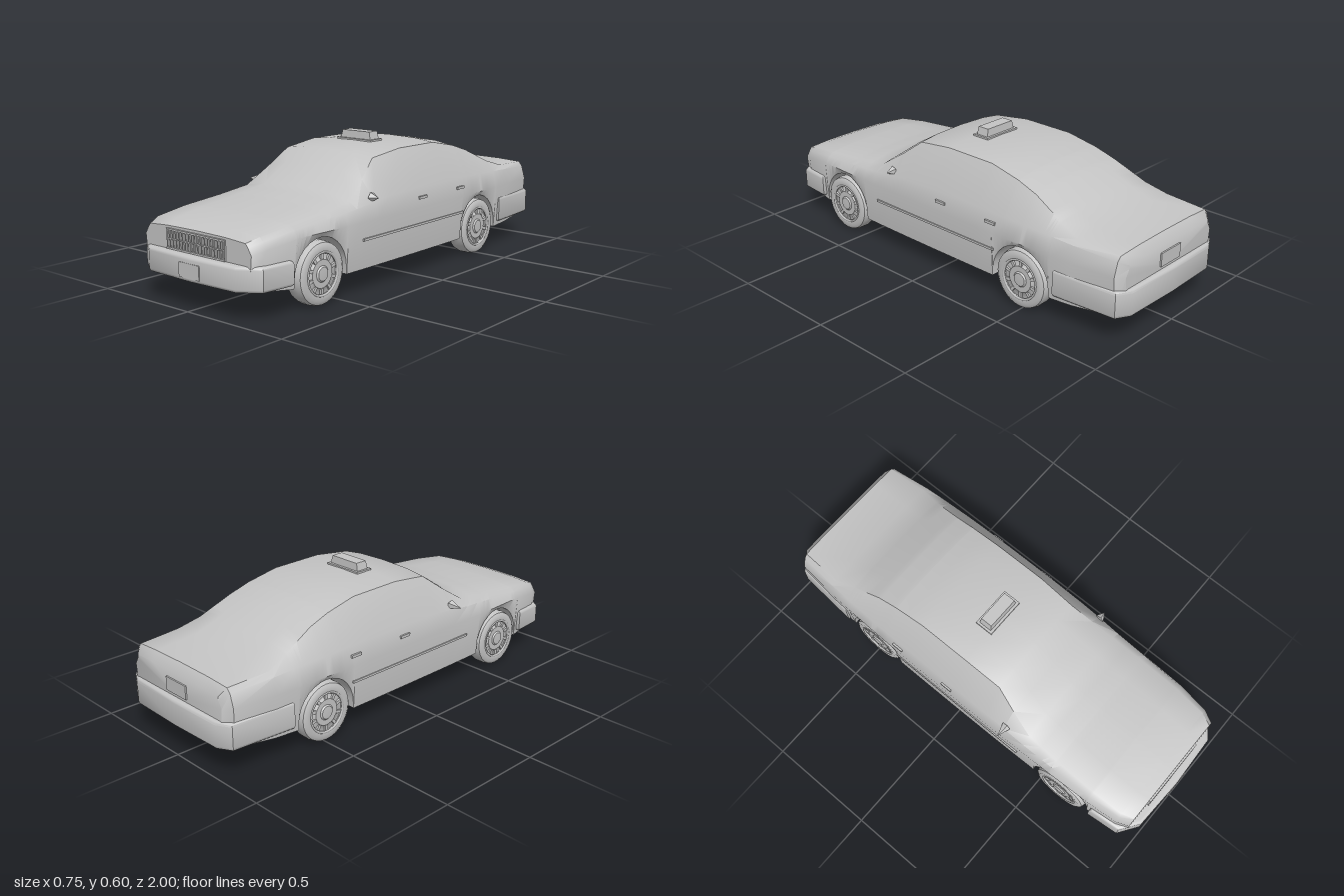
import * as THREE from 'three';
import { toCreasedNormals } from 'three/addons/utils/BufferGeometryUtils.js';

const paint = new THREE.MeshStandardMaterial({ color: 0xc4c4c4 });
paint.name = 'plain grey';

const AXLES = [0.61, -0.49], HUB_Y = 0.133, ARCH_R = 0.147;

// Body stations: z, floor y, half width, belt y, roof edge x, roof edge y, crown y
const STATIONS = [
  [-0.975, 0.16, 0.29, 0.33, 0.27, 0.345, 0.35],
  [-0.945, 0.13, 0.325, 0.36, 0.29, 0.38, 0.388],
  [-0.75, 0.11, 0.345, 0.37, 0.3, 0.388, 0.4],
  [-0.65, 0.105, 0.35, 0.375, 0.28, 0.42, 0.44],
  [-0.5, 0.1, 0.355, 0.38, 0.26, 0.488, 0.51],
  [-0.4, 0.1, 0.357, 0.382, 0.255, 0.52, 0.54],
  [-0.25, 0.1, 0.358, 0.385, 0.25, 0.55, 0.565],
  [0, 0.1, 0.358, 0.385, 0.25, 0.552, 0.567],
  [0.18, 0.1, 0.357, 0.38, 0.245, 0.53, 0.547],
  [0.28, 0.1, 0.356, 0.37, 0.27, 0.455, 0.49],
  [0.39, 0.1, 0.354, 0.355, 0.295, 0.382, 0.412],
  [0.55, 0.1, 0.35, 0.345, 0.3, 0.362, 0.385],
  [0.75, 0.1, 0.342, 0.33, 0.3, 0.345, 0.362],
  [0.9, 0.12, 0.325, 0.31, 0.29, 0.326, 0.338],
  [0.955, 0.135, 0.3, 0.295, 0.27, 0.309, 0.318],
];

function stationAt(z) {
  let i = 0;
  while (i < STATIONS.length - 2 && z > STATIONS[i + 1][0]) i++;
  const a = STATIONS[i], b = STATIONS[i + 1], t = (z - a[0]) / (b[0] - a[0]);
  return a.map((v, k) => THREE.MathUtils.lerp(v, b[k], t));
}

// Closed cross-section, anticlockwise seen from the front, opened up over the wheels
function ringAt(z) {
  const [, floor, w, belt, ex, ey, top] = stationAt(z);
  let sill = floor;
  for (const c of AXLES) {
    const d = Math.abs(z - c);
    if (d <= ARCH_R) sill = HUB_Y + Math.sqrt(ARCH_R * ARCH_R - d * d);
  }
  const mid = Math.min(0.3, belt - 0.03);
  const half = [
    [0.235, floor], [0.235, sill], [w - 0.012, sill], [w, mid],
    [w - 0.018, belt], [ex, ey], [ex * 0.6, ey + (top - ey) * 0.75],
  ];
  const left = half.slice().reverse().map(([x, y]) => [-x, y]);
  return [[0, floor], ...half, [0, top], ...left].map(([x, y]) => [x, y, z]);
}

function bodyGeometry() {
  const zs = STATIONS.map((s) => s[0]);
  for (const c of AXLES) {
    for (let i = 0; i <= 14; i++) zs.push(c + 0.9999 * ARCH_R * Math.cos((i / 14) * Math.PI));
    zs.push(c - ARCH_R - 0.002, c + ARCH_R + 0.002);
  }
  zs.sort((a, b) => a - b);
  const rings = zs.map(ringAt), n = rings[0].length, pos = [];
  const tri = (a, b, c) => pos.push(...a, ...b, ...c);
  for (let i = 0; i < rings.length - 1; i++) {
    for (let j = 0; j < n; j++) {
      const k = (j + 1) % n, r = rings[i], s = rings[i + 1];
      tri(r[j], r[k], s[j]);
      tri(r[k], s[k], s[j]);
    }
  }
  // Nose and tail caps
  const last = rings[rings.length - 1], first = rings[0];
  for (let j = 0; j < n; j++) {
    const k = (j + 1) % n;
    tri([0, 0.23, last[0][2]], last[j], last[k]);
    tri([0, 0.25, first[0][2]], first[k], first[j]);
  }
  const g = new THREE.BufferGeometry();
  g.setAttribute('position', new THREE.Float32BufferAttribute(pos, 3));
  return toCreasedNormals(g, 0.7);
}

// Slab cut from a plan outline of [x, z] points
function planSlab(points, y0, y1, bevel) {
  const shape = new THREE.Shape(points.map(([x, z]) => new THREE.Vector2(x, -z)));
  const g = new THREE.ExtrudeGeometry(shape, {
    depth: y1 - y0 - 2 * bevel, bevelEnabled: true, bevelSize: bevel,
    bevelThickness: bevel, bevelSegments: 3,
  });
  g.rotateX(-Math.PI / 2).translate(0, y0 + bevel, 0);
  return toCreasedNormals(g, 0.7);
}

function add(parent, name, geometry, x = 0, y = 0, z = 0) {
  const mesh = new THREE.Mesh(geometry, paint);
  mesh.name = name;
  mesh.position.set(x, y, z);
  parent.add(mesh);
  return mesh;
}

const box = (w, h, d) => new THREE.BoxGeometry(w, h, d);

function makeWheel() {
  const wheel = new THREE.Group();
  const profile = [
    [0, -0.045], [0.112, -0.045], [0.126, -0.036], [0.131, -0.018], [0.131, 0.018],
    [0.126, 0.036], [0.112, 0.045], [0.092, 0.043], [0.088, 0.028], [0.066, 0.03],
    [0.058, 0.038], [0.034, 0.038], [0.028, 0.044], [0, 0.046],
  ].map(([r, y]) => new THREE.Vector2(r, y));
  const tyre = new THREE.LatheGeometry(profile, 28).rotateZ(-Math.PI / 2);
  add(wheel, 'tyreAndRim', toCreasedNormals(tyre, 0.7));
  add(wheel, 'rimRing', new THREE.TorusGeometry(0.088, 0.006, 6, 28).rotateY(Math.PI / 2), 0.04);
  for (let i = 0; i < 10; i++) {
    const a = (i / 10) * Math.PI * 2;
    const spoke = add(wheel, 'spoke', box(0.012, 0.028, 0.014), 0.032, Math.cos(a) * 0.073, Math.sin(a) * 0.073);
    spoke.rotation.x = a;
  }
  return wheel;
}

export function createModel() {
  const model = new THREE.Group();
  model.name = 'taxi';
  const car = new THREE.Group();
  car.name = 'car';
  car.position.x = 0.01;
  model.add(car);

  add(car, 'body', bodyGeometry());

  // Bumpers
  add(car, 'frontBumper', planSlab(
    [[-0.333, 0.79], [-0.32, 0.92], [-0.24, 0.975], [0, 0.985], [0.24, 0.975], [0.32, 0.92], [0.333, 0.79]],
    0.12, 0.222, 0.014));
  add(car, 'rearBumper', planSlab(
    [[0.337, -0.68], [0.315, -0.95], [0.26, -0.98], [0, -0.986], [-0.26, -0.98], [-0.315, -0.95], [-0.337, -0.68]],
    0.125, 0.245, 0.014));
  add(car, 'chin', planSlab([[-0.15, 0.76], [-0.13, 0.86], [0.09, 0.86], [0.11, 0.76]], 0.09, 0.13, 0.008));

  // Grille with upright bars
  const grille = new THREE.Group();
  grille.name = 'grille';
  grille.position.set(0, 0.265, 0.957);
  car.add(grille);
  for (const y of [-0.038, 0.038]) add(grille, 'grilleFrame', box(0.33, 0.007, 0.014), 0, y, 0);
  for (let i = 0; i <= 18; i++) add(grille, 'grilleBar', box(0.005, 0.076, 0.01), -0.1625 + i * 0.01806, 0, 0);
  add(grille, 'grilleCrossBar', box(0.33, 0.005, 0.008));

  // Number plates without lettering
  add(car, 'frontPlate', box(0.115, 0.06, 0.009), 0.003, 0.166, 0.996);
  add(car, 'rearPlate', box(0.13, 0.06, 0.009), 0, 0.29, -0.977);

  // Roof sign on its base
  add(car, 'signBase', box(0.19, 0.008, 0.085), 0, 0.568, -0.035);
  const sign = new THREE.CylinderGeometry(0.9, 1, 1, 4, 1).rotateY(Math.PI / 4);
  sign.scale(0.17 / Math.SQRT2, 0.036, 0.062 / Math.SQRT2);
  add(car, 'roofSign', toCreasedNormals(sign, 0.3), 0, 0.588, -0.035);

  for (const side of [1, -1]) {
    // Wheels
    AXLES.forEach((z, i) => {
      const wheel = makeWheel();
      wheel.name = i ? 'rearWheel' : 'frontWheel';
      wheel.position.set(side * 0.303, HUB_Y, z);
      if (side < 0) wheel.rotation.y = Math.PI;
      car.add(wheel);
    });
    // Door mirror, tapering outwards
    const reach = side > 0 ? 0.04 : 0.06;
    const mirror = new THREE.ConeGeometry(0.022, reach, 5).rotateZ(-side * Math.PI / 2);
    add(car, 'doorMirror', toCreasedNormals(mirror, 0.3), side * (0.325 + reach / 2), 0.388, 0.285);
    // Rubbing strip and door handles
    add(car, 'sideStrip', box(0.008, 0.01, 0.72), side * 0.354, 0.226, 0.01);
    for (const z of [-0.04, -0.33]) add(car, 'doorHandle', box(0.01, 0.012, 0.055), side * 0.351, 0.342, z);
  }
  return model;
}
